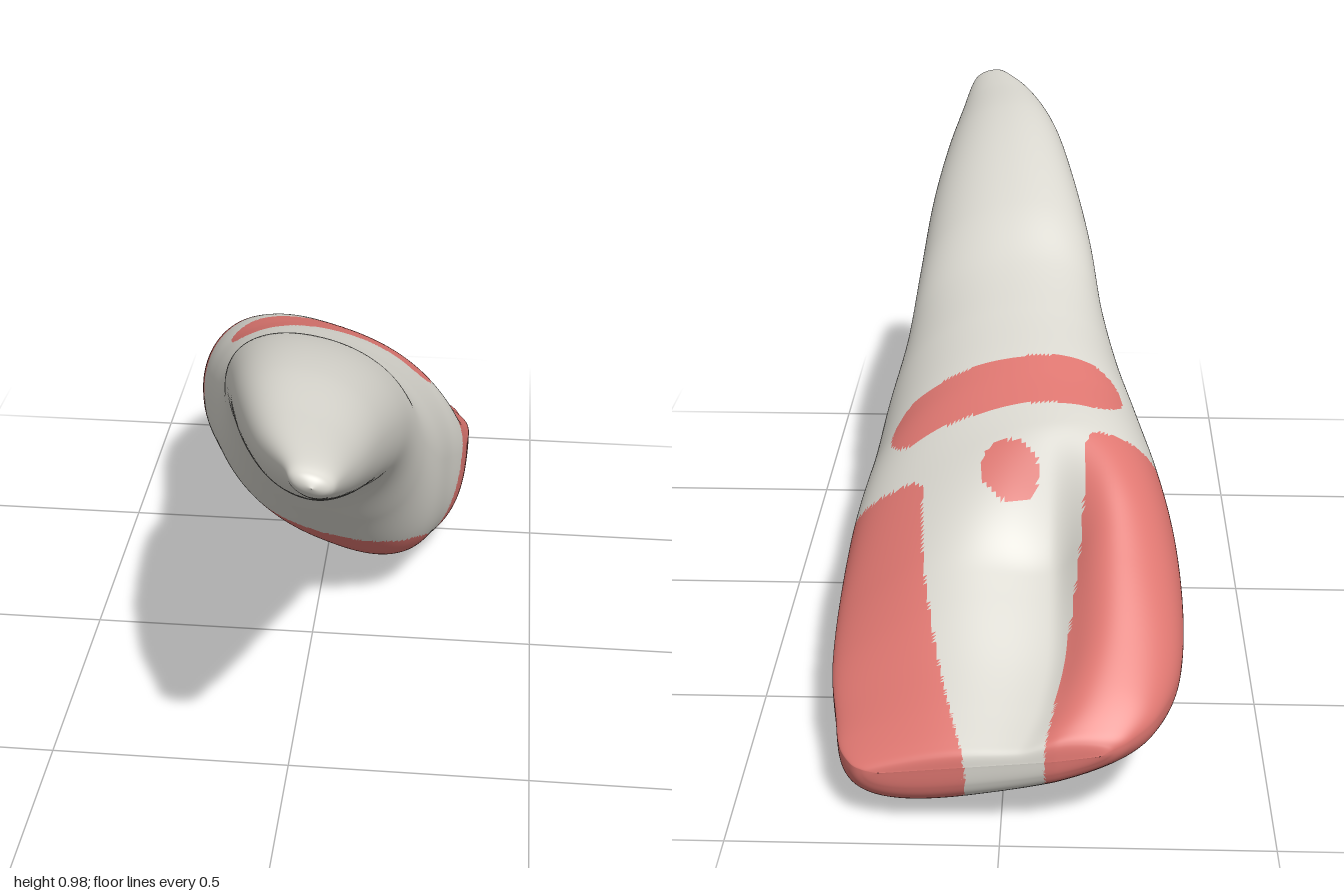
import * as THREE from 'three';

// Cross-sections from root tip to biting edge: z, xMin, xMax, midline y, height above, depth below
const sections = [
  [1.0, 0.1, 0.1, 0.945, 0, 0],
  [0.985, 0.065, 0.13, 0.945, 0.02, 0.022],
  [0.94, 0.043, 0.145, 0.94, 0.035, 0.048],
  [0.8, -0.022, 0.165, 0.9, 0.075, 0.09],
  [0.6, -0.08, 0.19, 0.85, 0.115, 0.15],
  [0.4, -0.122, 0.212, 0.78, 0.14, 0.178],
  [0.2, -0.16, 0.227, 0.685, 0.158, 0.195],
  [0.05, -0.187, 0.247, 0.57, 0.18, 0.24],
  [-0.1, -0.225, 0.28, 0.46, 0.235, 0.28],
  [-0.25, -0.265, 0.30, 0.39, 0.26, 0.27],
  [-0.4, -0.303, 0.328, 0.33, 0.265, 0.255],
  [-0.55, -0.33, 0.335, 0.285, 0.225, 0.24],
  [-0.7, -0.337, 0.332, 0.235, 0.17, 0.205],
  [-0.82, -0.325, 0.315, 0.195, 0.125, 0.165],
  [-0.92, -0.285, 0.30, 0.175, 0.075, 0.12],
  [-0.975, -0.235, 0.275, 0.165, 0.042, 0.08],
  [-0.995, -0.2, 0.25, 0.16, 0.025, 0.045],
  [-1.0, -0.18, 0.22, 0.155, 0, 0],
];
const ROWS = 320, RING = 220;

// Smooth 0..1 ramp as z runs back from one value to another
const backRamp = (from, to, z) => THREE.MathUtils.smoothstep(-z, -from, -to);

// Catmull-Rom blend of the section table
function sectionAt(t) {
  const f = t * (sections.length - 1), i = Math.min(Math.floor(f), sections.length - 2), w = f - i;
  const at = (k) => sections[THREE.MathUtils.clamp(k, 0, sections.length - 1)];
  return sections[0].map((_, c) => {
    const [a, b, d, e] = [at(i - 1)[c], at(i)[c], at(i + 1)[c], at(i + 2)[c]];
    return b + 0.5 * w * (d - a + w * (2 * a - 5 * b + 4 * d - e + w * (3 * (b - d) + e - a)));
  });
}

// Point on a section: rolled oval, fuller on the lip side, with side ridges and a hollow on the tongue side
function surfacePoint([z, x0, x1, mid, up, down], angle) {
  const crown = backRamp(-0.3, -0.6, z), hollow = backRamp(-0.45, -0.65, z), lip = backRamp(0.15, -0.25, z);
  const c = Math.cos(angle), s = Math.sin(angle);
  const power = 2 / (s > 0 ? 2.15 - 0.3 * crown : 2 + 0.6 * lip);
  const u = Math.sign(c) * Math.abs(c) ** power, v = Math.abs(s) ** power;
  const half = (x1 - x0) / 2;
  const side = u + 0.25;
  const dip = 1 - 0.5 * hollow * Math.exp(-((side / (side < 0 ? 0.22 : 0.5)) ** 2));
  const rise = s > 0
    ? up * v * (1 - 0.48 * crown * u) * dip
    : -down * v * (1 + 0.22 * lip * u);
  const x = (x0 + x1) / 2 + u * half;
  const skew = 0.1 * Math.max(0, x + 0.1) * backRamp(-0.7, -1, z);
  return [x, mid - (0.2 - 0.04 * crown) * u * half + rise, z + skew];
}

// Distance in 2D from a point to a segment, with the fraction along it
function alongSegment(px, py, ax, ay, bx, by) {
  const dx = bx - ax, dy = by - ay;
  const t = THREE.MathUtils.clamp(((px - ax) * dx + (py - ay) * dy) / (dx * dx + dy * dy), 0, 1);
  return [Math.hypot(px - ax - t * dx, py - ay - t * dy), t];
}

// Inside a corner region with a rounded tip, given the distances from its two edges
const insideCorner = (a, b, r) => a > 0 && b > 0 && (a > r || b > r || Math.hypot(r - a, r - b) < r);

// True where the surface carries a red contact patch
function isPatch(x, y, z, upper) {
  // side panels of the crown, closing in on each other towards the biting edge
  const start = upper ? 0.5 : 0.3;
  const narrow = THREE.MathUtils.clamp((-z - start) / (1 - start), 0, 1) ** (upper ? 1.6 : 1);
  const corner = upper ? 0.03 : 0.05;
  if (insideCorner(x - 0.17 + 0.11 * narrow, -0.455 + (0.46 - y) * 0.48 - z, corner)) return true;
  if (insideCorner(-0.15 + 0.07 * narrow - x, -0.46 + (0.56 - y) * 0.32 - z, corner)) return true;
  if (upper) {
    // bar and spot on the tongue side
    const [gap, t] = alongSegment(x, z, -0.147, -0.322, 0.185, -0.322);
    if (gap < 0.076 - 0.016 * t) return true;
    return ((x + 0.002) / 0.057) ** 2 + ((z + 0.507 - 0.25 * x) / 0.042) ** 2 < 1;
  }
  // bar on the lip side
  const [gap, t] = alongSegment(x, y, -0.168, 0.24, 0.21, 0.167);
  return z < 0.08 && z > -0.36 && gap < 0.04 + 0.006 * t;
}

export function createModel() {
  const enamel = new THREE.MeshStandardMaterial({ color: 0xdad8d0 });
  enamel.name = 'ivory enamel';
  const red = new THREE.MeshStandardMaterial({ color: 0xdf7771 });
  red.name = 'coral red';

  // Whole tooth skin
  const positions = [];
  for (let i = 0; i <= ROWS; i++) {
    const section = sectionAt(i / ROWS);
    for (let j = 0; j < RING; j++) positions.push(...surfacePoint(section, (j + 0.5) / RING * Math.PI * 2));
  }
  const body = [], patches = [];
  const addTriangle = (a, b, c, upper) => {
    const mean = (k) => (positions[a * 3 + k] + positions[b * 3 + k] + positions[c * 3 + k]) / 3;
    (isPatch(mean(0), mean(1), mean(2), upper) ? patches : body).push(a, b, c);
  };
  for (let i = 0; i < ROWS; i++) {
    for (let j = 0; j < RING; j++) {
      const a = i * RING + j, b = i * RING + (j + 1) % RING;
      const upper = j < RING / 2;
      addTriangle(a, a + RING, b, upper);
      addTriangle(b, a + RING, b + RING, upper);
    }
  }
  const skin = new THREE.BufferGeometry();
  skin.setAttribute('position', new THREE.Float32BufferAttribute(positions, 3));
  skin.setIndex([...body, ...patches]);
  skin.computeVertexNormals();

  // Split the skin into plain and red faces that share smooth normals
  const group = new THREE.Group();
  group.name = 'tooth';
  const addMesh = (name, index, material) => {
    const geometry = new THREE.BufferGeometry();
    geometry.setAttribute('position', skin.getAttribute('position'));
    geometry.setAttribute('normal', skin.getAttribute('normal'));
    geometry.setIndex(index);
    const mesh = new THREE.Mesh(geometry, material);
    mesh.name = name;
    group.add(mesh);
  };
  addMesh('rootAndCrown', body, enamel);
  addMesh('contactPatches', patches, red);
  return group;
}
